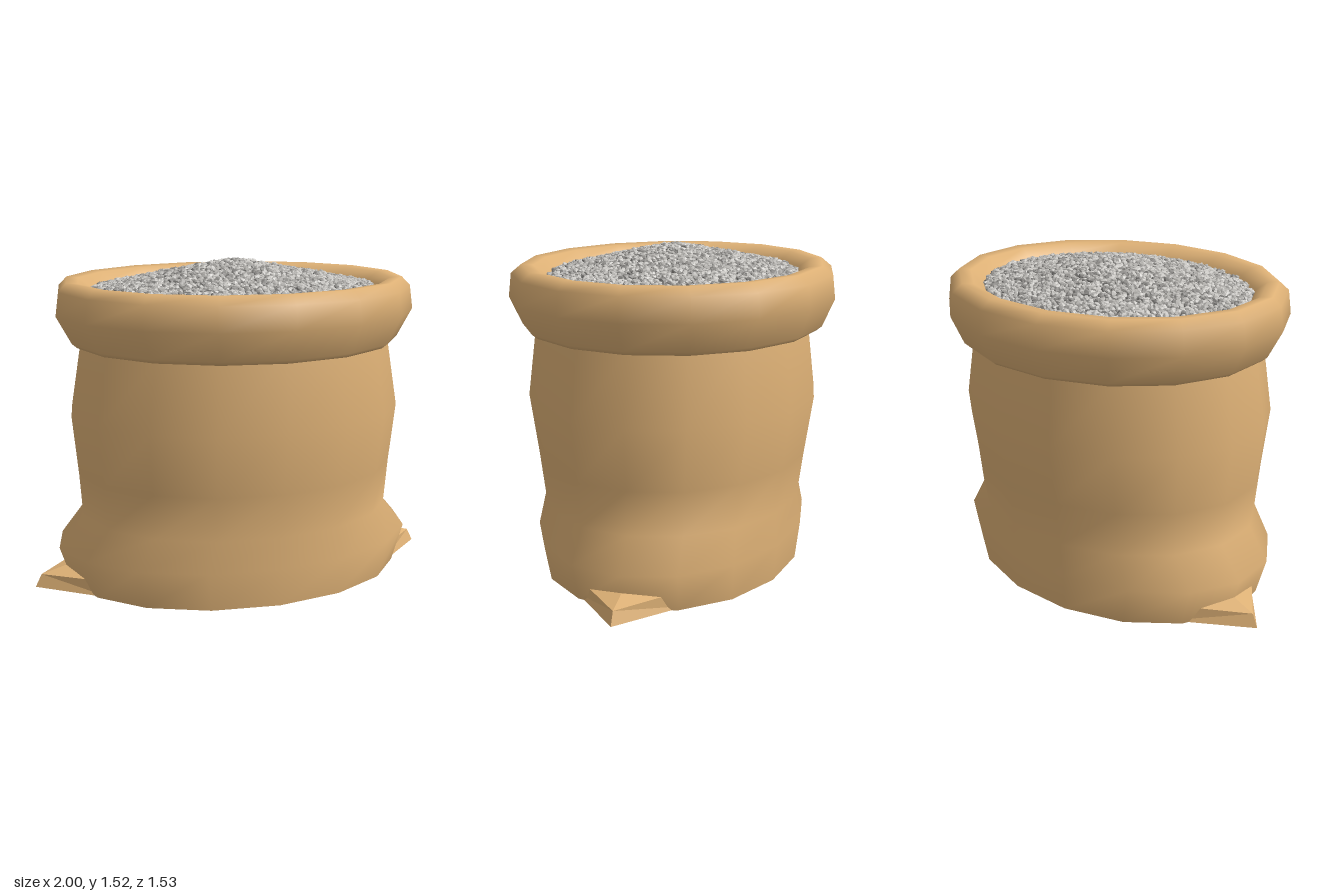
import * as THREE from 'three';
import { mergeGeometries } from 'three/addons/utils/BufferGeometryUtils.js';

const SIDES = 16;

// Smooth oval skin through rings given as [half width, half depth, height]
function ovalLoft(rings, sides = SIDES) {
  const pos = [], idx = [];
  for (const [rx, rz, y] of rings)
    for (let j = 0; j < sides; j++) {
      const a = (j / sides) * Math.PI * 2;
      pos.push(Math.cos(a) * rx, y, Math.sin(a) * rz);
    }
  for (let i = 0; i < rings.length - 1; i++)
    for (let j = 0; j < sides; j++) {
      const a = i * sides + j, b = i * sides + (j + 1) % sides;
      idx.push(a, a + sides, b, b, a + sides, b + sides);
    }
  const g = new THREE.BufferGeometry();
  g.setAttribute('position', new THREE.Float32BufferAttribute(pos, 3));
  g.setIndex(idx);
  g.computeVertexNormals();
  return g;
}

// Small seeded generator
function seeded(seed) {
  return () => {
    seed = (Math.imul(seed, 1664525) + 1013904223) >>> 0;
    return seed / 4294967296;
  };
}

// Pinched corner of the sack on the +x side: flat underside, ridge on top
function cornerGeometry() {
  const tip = [1, 0, 0], lip = [0.97, 0.06, 0], ridge = [0.85, 0.092, 0], back = [0.7, 0.088, 0];
  const fl = [0.7, 0, 0.26], bl = [0.7, 0, -0.26], ft = [0.72, 0.076, 0.24], bt = [0.72, 0.076, -0.24];
  const tris = [
    tip, lip, fl, lip, ft, fl, tip, bl, lip, lip, bl, bt,
    lip, ridge, ft, lip, bt, ridge, ridge, back, ft, ridge, bt, back,
    tip, fl, bl,
  ];
  const g = new THREE.BufferGeometry();
  g.setAttribute('position', new THREE.Float32BufferAttribute(tris.flat(), 3));
  g.computeVertexNormals();
  return g;
}

export function createModel() {
  const group = new THREE.Group();
  const make = (name, color) => {
    const m = new THREE.MeshStandardMaterial({ color });
    m.name = name;
    return m;
  };
  const burlap = make('burlap', 0xdeb176);
  burlap.side = THREE.DoubleSide;
  const greys = [make('light gravel', 0xcac8c4), make('mid gravel', 0xb0aeaa), make('dark gravel', 0x8e8c89)];
  const shade = make('gravel shadow', 0x5c5b59);
  const add = (name, geometry, material) => {
    const mesh = new THREE.Mesh(geometry, material);
    mesh.name = name;
    group.add(mesh);
    return mesh;
  };

  // Sagging sack body
  add('sackBody', ovalLoft([
    [0.82, 0.61, 0], [0.88, 0.632, 0.18], [0.76, 0.612, 0.32], [0.775, 0.64, 0.53],
    [0.803, 0.682, 0.81], [0.75, 0.645, 1.13], [0.74, 0.635, 1.22],
  ]), burlap);

  // Flat underside
  const base = new THREE.CircleGeometry(1, SIDES);
  base.rotateX(Math.PI / 2).scale(0.82, 1, 0.61);
  add('sackBase', base, burlap);

  // Rolled-over rim
  add('rolledRim', ovalLoft([
    [0.72, 0.62, 1.17], [0.765, 0.685, 1.13], [0.79, 0.71, 1.15], [0.862, 0.767, 1.28],
    [0.847, 0.755, 1.39], [0.81, 0.705, 1.43], [0.755, 0.65, 1.425],
    [0.705, 0.6, 1.39], [0.68, 0.575, 1.34],
  ]), burlap);

  // Corners, left and right
  for (const side of [1, -1]) {
    const corner = add(side > 0 ? 'leftCorner' : 'rightCorner', cornerGeometry(), burlap);
    if (side < 0) corner.rotation.y = Math.PI;
  }

  // Heap under the loose stones
  const heapY = r => 1.51 - 0.135 * r;
  add('gravelHeap', ovalLoft([1, 0.75, 0.5, 0.25, 0.001].map(r => [0.7 * r, 0.59 * r, heapY(r) - 0.006]), 32), shade);

  // Loose stones spread in a sunflower pattern over the heap
  const rand = seeded(7);
  const stone = new THREE.IcosahedronGeometry(1, 0);
  const batches = greys.map(() => []);
  const count = 3000;
  const dummy = new THREE.Object3D();
  for (let i = 0; i < count; i++) {
    const r = Math.sqrt((i + 0.5) / count) * 0.985;
    const a = i * 2.39996 + (rand() - 0.5) * 0.02;
    dummy.position.set(
      Math.cos(a) * r * 0.69 + (rand() - 0.5) * 0.012,
      heapY(r) + (rand() - 0.5) * 0.01,
      Math.sin(a) * r * 0.58 + (rand() - 0.5) * 0.012);
    dummy.rotation.set((rand() - 0.5) * 1.4, rand() * 6.28, (rand() - 0.5) * 1.4);
    const s = 0.012 + rand() * 0.006;
    dummy.scale.set(s * (1 + rand() * 0.5), s * 0.85, s);
    dummy.updateMatrix();
    const pick = rand();
    batches[pick < 0.45 ? 0 : pick < 0.8 ? 1 : 2].push(stone.clone().applyMatrix4(dummy.matrix));
  }
  batches.forEach((b, i) => add('gravelStones' + (i + 1), mergeGeometries(b), greys[i]));

  return group;
}
